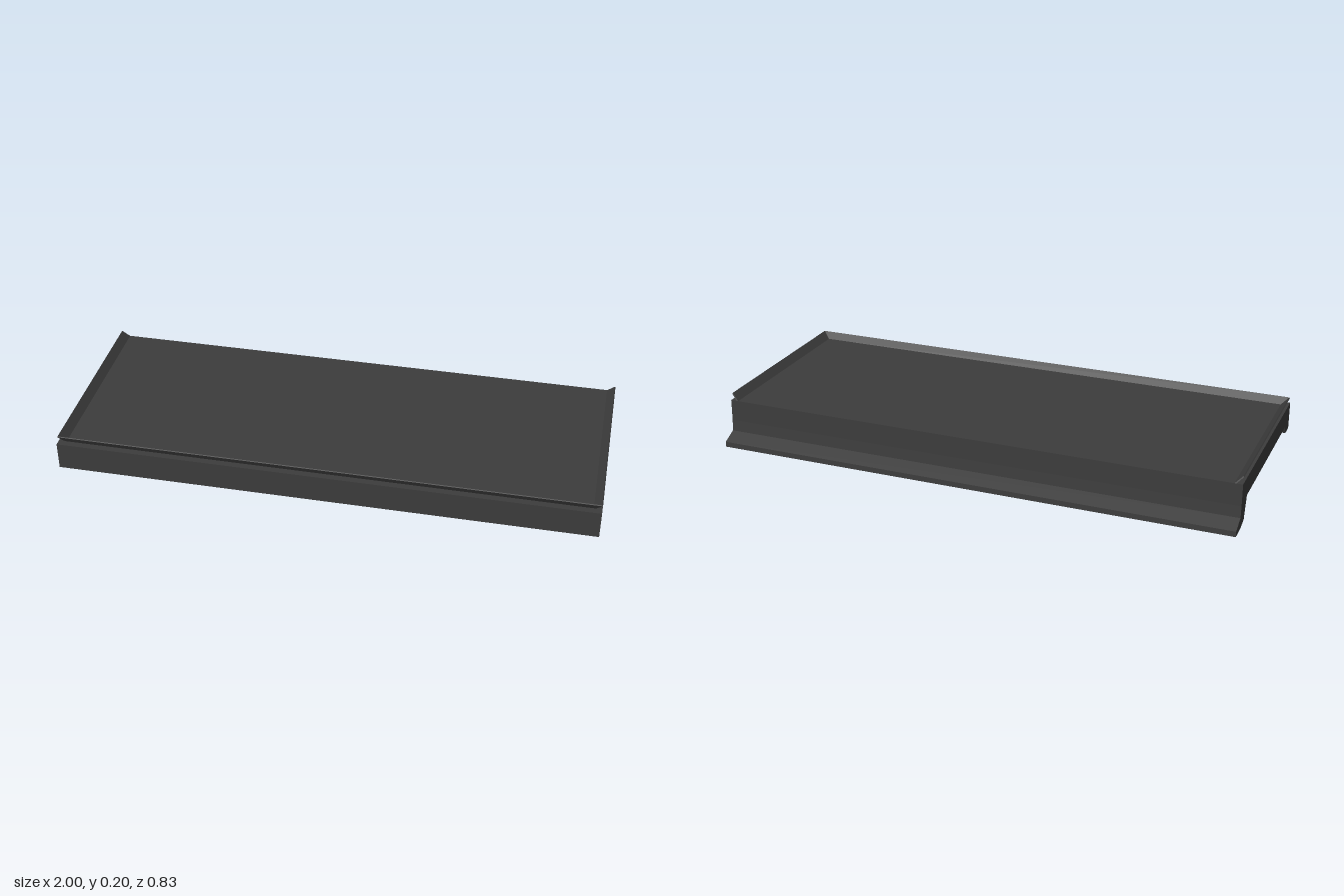
import * as THREE from 'three';

// Side section of the shelf as (z, y), constant along the whole width
const SECTION = [
  [0.415, 0.067], [0.415, 0.172], [-0.353, 0.172], [-0.354, 0.09], [-0.358, 0.047],
  [-0.414, 0.022], [-0.415, 0.002], [-0.37, 0.002], [-0.335, 0.006], [-0.303, 0.018],
  [-0.277, 0.098], [0.35, 0.098], [0.362, 0.067],
];

// Rim section as (outward offset, y): a thin wall leaning outward
const RIM = [[-0.004, 0.171], [0.003, 0.171], [0.027, 0.196], [0.024, 0.199]];

function createBody(material) {
  const shape = new THREE.Shape(SECTION.map(([z, y]) => new THREE.Vector2(-z, y)));
  const geometry = new THREE.ExtrudeGeometry(shape, { depth: 2, bevelEnabled: false });
  geometry.rotateY(Math.PI / 2).translate(-1, 0, 0);
  const body = new THREE.Mesh(geometry, material);
  body.name = 'shelfBody';
  return body;
}

// Sweep the rim round the left, front and right edges with mitred corners
function createRim(material) {
  const rings = [[-1, 0], [-1, 1], [1, 1], [1, 0]].map(([side, front]) =>
    RIM.map(([out, y]) => {
      const backZ = -0.353 + (y - 0.171) * 0.4;
      return [side * (0.973 + out), y, front ? 0.387 + out * 0.6 : backZ];
    }));
  const positions = [];
  const quad = (a, b, c, d) => positions.push(...a, ...b, ...c, ...a, ...c, ...d);
  for (let i = 0; i < 3; i++) {
    for (let j = 0; j < 4; j++) {
      const k = (j + 1) % 4;
      quad(rings[i][j], rings[i + 1][j], rings[i + 1][k], rings[i][k]);
    }
  }
  // Close both back ends
  quad(...rings[0]);
  quad(...[...rings[3]].reverse());
  const geometry = new THREE.BufferGeometry();
  geometry.setAttribute('position', new THREE.Float32BufferAttribute(positions, 3));
  geometry.computeVertexNormals();
  const rim = new THREE.Mesh(geometry, material);
  rim.name = 'flaredRim';
  return rim;
}

export function createModel() {
  const group = new THREE.Group();
  group.name = 'shelf';
  const plastic = new THREE.MeshStandardMaterial({ color: 0x3c3c3c });
  plastic.name = 'charcoal plastic';
  group.add(createBody(plastic), createRim(plastic));
  return group;
}
